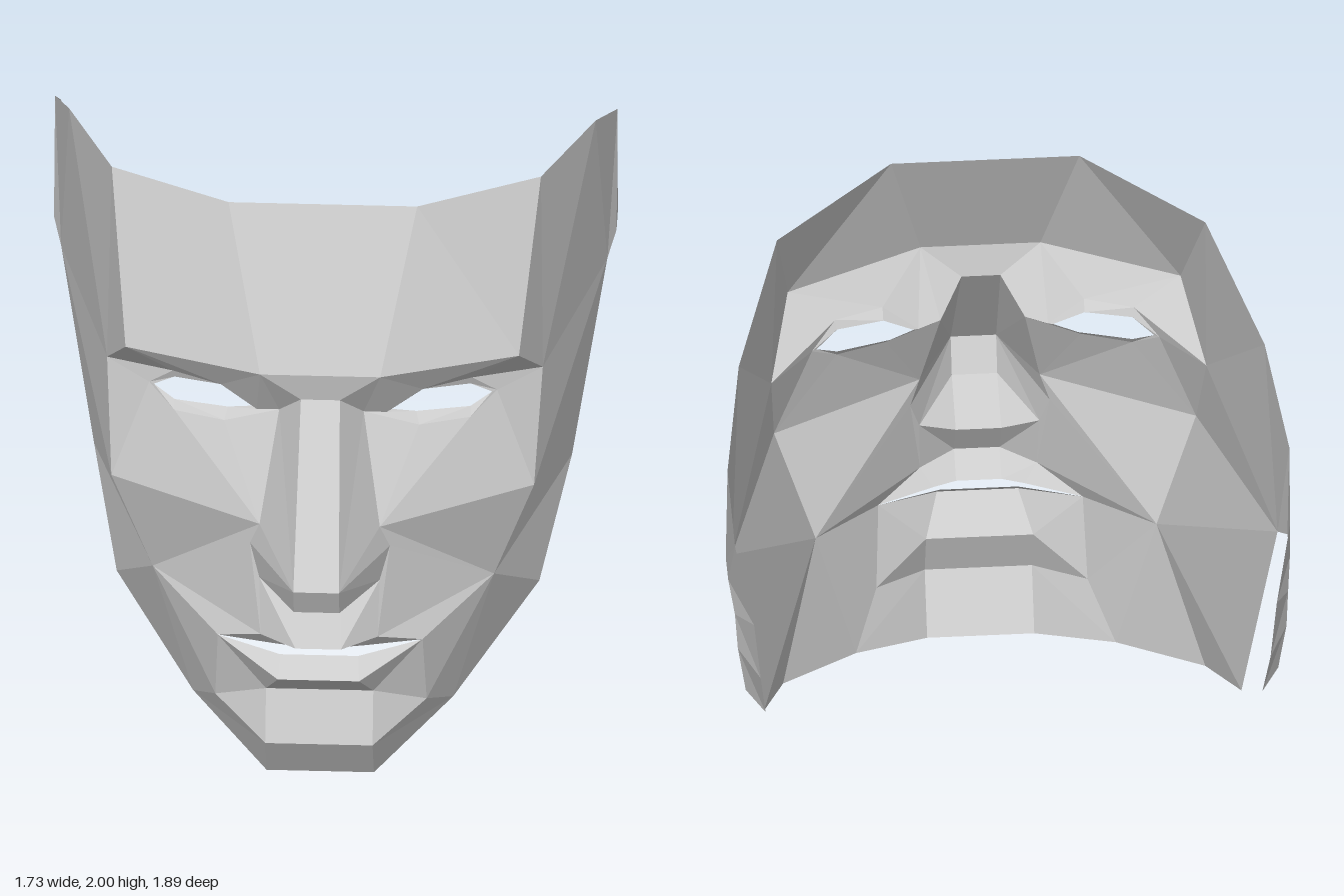
import * as THREE from 'three';

const material = new THREE.MeshStandardMaterial({ color: 0xcccccc, flatShading: true, side: THREE.DoubleSide });

// Point of the centre line level with p
const mid = (p) => [0, p[1], p[2]];

// Quads between an upper and a lower row of points
const zip = (a, b) => a.slice(1).map((p, i) => [p, a[i], b[i], b[i + 1]]);

// Facets of the left half, mirrored to the right, as one mesh
function facets(name, polygons) {
  const out = [];
  for (const poly of polygons) {
    for (let i = 1; i < poly.length - 1; i++) {
      const [a, b, c] = [poly[0], poly[i], poly[i + 1]];
      if (a === b || b === c || a === c) continue;
      out.push(...a, ...b, ...c);
      for (const p of [a, c, b]) out.push(-p[0], p[1], p[2]);
    }
  }
  const geometry = new THREE.BufferGeometry();
  geometry.setAttribute('position', new THREE.Float32BufferAttribute(out, 3));
  geometry.computeVertexNormals();
  const mesh = new THREE.Mesh(geometry, material);
  mesh.name = name;
  return mesh;
}

export function createModel() {
  const group = new THREE.Group();
  group.name = 'faceMask';

  // Shared corners of the upper face
  const crown = [0.29, 2, 0.42], temple = [0.66, 1.93, 0.15], sideTop = [0.81, 1.81, -0.32];
  const browIn = [0.185, 1.505, 0.635], browOut = [0.605, 1.48, 0.47];
  const eyeSide = [0.67, 1.29, 0.26], cheekbone = [0.65, 0.965, 0.43];
  const noseSide = [0.185, 0.965, 0.67], noseRoot = [0.13, 1.3, 0.53];

  // Shared corners of the lower face
  const cheek = [0.525, 0.59, 0.38], mouthCorner = [0.315, 0.515, 0.63];
  const earFront = [0.84, 1.19, -0.46], jawBack = [0.735, 0.51, -0.37];
  const jawMid = [0.65, 0.31, 0.02], jawFront = [0.4, 0.13, 0.39];
  const chinSide = [0.325, 0.245, 0.565];

  // Nose
  const bridge = [0.06, 1.4, 0.615], tip = [0.07, 0.91, 0.95], under = [0.07, 0.8, 0.9];
  const base = [0.07, 0.725, 0.72], nostril = [0.185, 0.775, 0.685], wing = [0.215, 0.88, 0.65];
  const noseColumn = [bridge, tip, under, base];
  group.add(facets('nose', [
    ...noseColumn.slice(1).flatMap((p, i) => zip([mid(noseColumn[i]), noseColumn[i]], [mid(p), p])),
    [tip, wing, noseSide, noseRoot, bridge],
    [tip, under, nostril, wing],
    [under, base, nostril],
  ]));

  // Forehead and the patch between the brows
  group.add(facets('forehead', [
    ...zip([mid(crown), crown], [mid(browIn), browIn]),
    [crown, browIn, browOut, temple],
    ...zip([mid(browIn), browIn], [mid(bridge), bridge]),
    [bridge, noseRoot, browIn],
  ]));

  // Eye sockets: rings from brow and cheek in to the lids and the opening
  const socket = [noseRoot, browIn, browOut, eyeSide, cheekbone, noseSide, noseRoot];
  const lids = [[0.2, 1.285, 0.51], [0.31, 1.375, 0.51], [0.46, 1.38, 0.45],
    [0.535, 1.3, 0.4], [0.455, 1.238, 0.46], [0.3, 1.24, 0.51]];
  const opening = [[0.215, 1.29, 0.5], [0.31, 1.35, 0.475], [0.455, 1.35, 0.44],
    [0.52, 1.3, 0.41], [0.455, 1.265, 0.44], [0.29, 1.27, 0.48]];
  lids.push(lids[0]);
  opening.push(opening[0]);
  group.add(facets('eyeSockets', zip(socket, lids)));
  group.add(facets('eyelids', zip(lids, opening)));

  // Lips
  const lipTop = [0.07, 0.59, 0.8], lipTopSide = [0.18, 0.585, 0.72];
  const upperInner = [0.07, 0.535, 0.71], upperInnerSide = [0.14, 0.53, 0.69];
  const lowerInner = [0.12, 0.503, 0.71], lipBottom = [0.125, 0.45, 0.77];
  group.add(facets('upperLip', zip(
    [mid(lipTop), lipTop, lipTopSide, mouthCorner],
    [mid(upperInner), upperInner, upperInnerSide, mouthCorner])));
  group.add(facets('lowerLip', zip(
    [mid(lowerInner), lowerInner, mouthCorner],
    [mid(lipBottom), lipBottom, mouthCorner])));

  // Chin
  const chinTop = [0.165, 0.345, 0.67], chinPoint = [0.165, 0.18, 0.73], chinBase = [0.165, 0, 0.62];
  const chinColumn = [lipBottom, chinTop, chinPoint, chinBase];
  group.add(facets('chin', [
    ...chinColumn.slice(1).flatMap((p, i) => zip([mid(chinColumn[i]), chinColumn[i]], [mid(p), p])),
    [lipBottom, chinTop, mouthCorner],
    [chinTop, chinSide, mouthCorner],
    [chinTop, chinPoint, chinSide],
    [chinPoint, chinBase, jawFront, chinSide],
  ]));

  // Cheeks and the skin above the upper lip
  group.add(facets('cheeks', [
    ...zip([mid(base), base, nostril], [mid(lipTop), lipTop, lipTopSide]),
    [noseSide, cheek, cheekbone],
    [noseSide, wing, cheek],
    [wing, nostril, lipTopSide, cheek],
    [lipTopSide, mouthCorner, cheek],
    [mouthCorner, chinSide, cheek],
    [chinSide, jawFront, cheek],
  ]));

  // Sides of the head and the jaw
  group.add(facets('sides', [
    [browOut, eyeSide, temple],
    [temple, eyeSide, sideTop],
    [eyeSide, earFront, sideTop],
    [eyeSide, cheekbone, earFront],
    [cheekbone, cheek, earFront],
    [cheek, jawBack, earFront],
    [cheek, jawMid, jawBack],
    [cheek, jawFront, jawMid],
  ]));

  // Hooks that curl over and behind the ears
  const hookOuter = [sideTop, [0.865, 1.64, -0.62], [0.855, 1.49, -0.81],
    [0.805, 1.28, -0.935], [0.785, 1.08, -0.945], [0.765, 0.89, -0.87]];
  const hookInner = [earFront, [0.865, 1.24, -0.54], [0.865, 1.24, -0.65],
    [0.852, 1.19, -0.76], [0.845, 1.08, -0.79], [0.82, 0.91, -0.78]];
  group.add(facets('earHooks', zip(hookOuter, hookInner)));

  return group;
}
